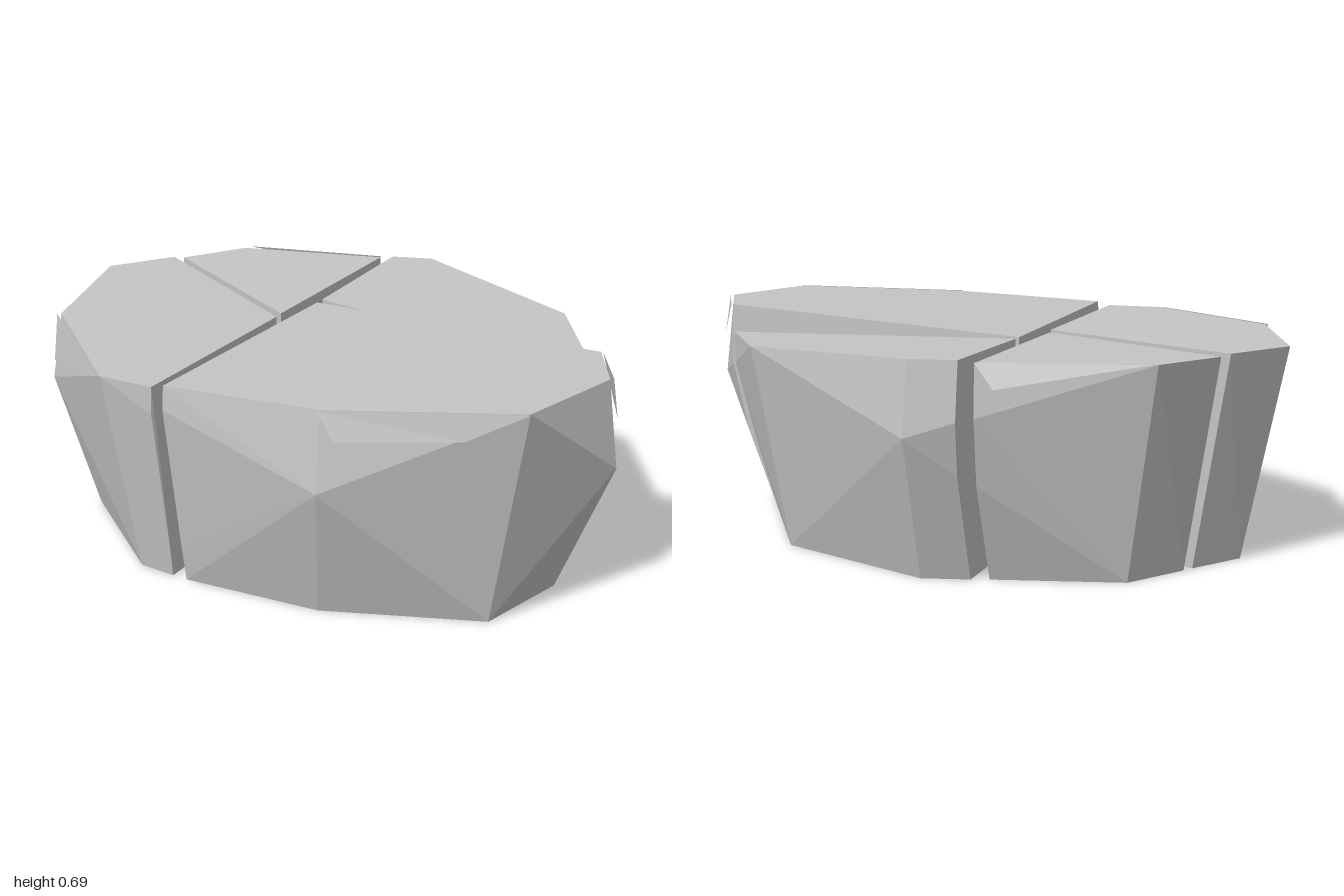
import * as THREE from 'three';
import { ConvexGeometry } from 'three/addons/geometries/ConvexGeometry.js';

const stone = new THREE.MeshStandardMaterial({ color: 0xc5c5c5, side: THREE.DoubleSide });
stone.name = 'stone';

const vec = (p) => new THREE.Vector3(...p);

// One faceted block of the cracked boulder: the hull of its base, waist and top corners
function block(name, base, waist, top) {
  const points = [...base.map(([x, z]) => vec([x, 0, z])), ...waist.map(vec), ...top.map(vec)];
  const mesh = new THREE.Mesh(new ConvexGeometry(points), stone);
  mesh.name = name;
  return mesh;
}

// Thin flake lying against the rim of a block
function flake(name, corners) {
  const points = corners.map(([x, y, z]) => {
    const out = 0.006 / Math.hypot(x, z);
    return new THREE.Vector3(x * (1 + out), y, z * (1 + out));
  });
  const fan = [];
  for (let i = 1; i < points.length - 1; i++) fan.push(points[0], points[i], points[i + 1]);
  const geometry = new THREE.BufferGeometry().setFromPoints(fan);
  geometry.computeVertexNormals();
  const mesh = new THREE.Mesh(geometry, stone);
  mesh.name = name;
  return mesh;
}

export function createModel() {
  const model = new THREE.Group();
  model.name = 'crackedBoulder';

  // Four blocks separated by narrow cracks
  model.add(
    block('frontLeftBlock',
      [[0.82, 0.21], [0.42, 0.5], [0, 0.635], [-0.22, -0.155], [0.64, -0.275], [0.82, -0.1]],
      [[0.51, 0.43, 0.6], [1, 0.43, -0.12], [0.003, 0.11, 0.652], [0.015, 0.577, 0.716],
        [0.81, 0.49, -0.295], [0.76, 0.275, -0.285]],
      [[0.96, 0.69, -0.12], [0.96, 0.69, 0.24], [0.5, 0.67, 0.57], [0.015, 0.65, 0.71],
        [-0.22, 0.637, -0.155], [0.8, 0.685, -0.3]]),
    block('backLeftBlock',
      [[0.61, -0.305], [0.34, -0.57], [-0.21, -0.65], [-0.335, -0.58], [-0.23, -0.19]],
      [[-0.25, 0.43, -0.785], [0.77, 0.5, -0.328], [0.69, 0.23, -0.317],
        [-0.375, 0.475, -0.71], [-0.36, 0.32, -0.68]],
      [[0.77, 0.6, -0.328], [0.4, 0.62, -0.665], [-0.25, 0.647, -0.76],
        [-0.37, 0.645, -0.69], [-0.23, 0.637, -0.19]]),
    block('backRightBlock',
      [[-0.23, 0], [-0.38, -0.55], [-0.72, -0.36], [-0.79, -0.155]],
      [[-0.415, 0.485, -0.68], [-0.4, 0.29, -0.645]],
      [[-0.23, 0.635, 0], [-0.41, 0.638, -0.67], [-0.84, 0.638, -0.42], [-0.91, 0.638, -0.187]]),
    block('frontRightBlock',
      [[-0.21, 0.04], [-0.8, -0.12], [-0.865, 0.06], [-0.62, 0.46], [-0.17, 0.665], [-0.05, 0.645]],
      [[-0.74, 0.43, 0.53], [-0.045, 0.08, 0.655], [-0.03, 0.55, 0.72]],
      [[-0.21, 0.638, 0.04], [-0.925, 0.644, -0.157], [-1, 0.645, 0.07],
        [-0.72, 0.643, 0.5], [-0.2, 0.638, 0.767], [-0.025, 0.638, 0.72]]),
  );

  // Chipped flakes along the upper rim
  model.add(
    flake('frontLeftFlake',
      [[0.5, 0.67, 0.58], [0.55, 0.59, 0.57], [0.83, 0.61, 0.36], [0.96, 0.69, 0.25]]),
    flake('leftSideFlake', [[0.96, 0.69, -0.13], [0.96, 0.56, -0.16], [0.8, 0.685, -0.3]]),
    flake('backRightFlake', [[-0.41, 0.64, -0.67], [-0.47, 0.57, -0.67], [-0.83, 0.64, -0.44]]),
    flake('frontRightFlake', [[-0.72, 0.643, 0.51], [-0.68, 0.51, 0.56], [-0.2, 0.638, 0.772]]),
  );
  return model;
}
